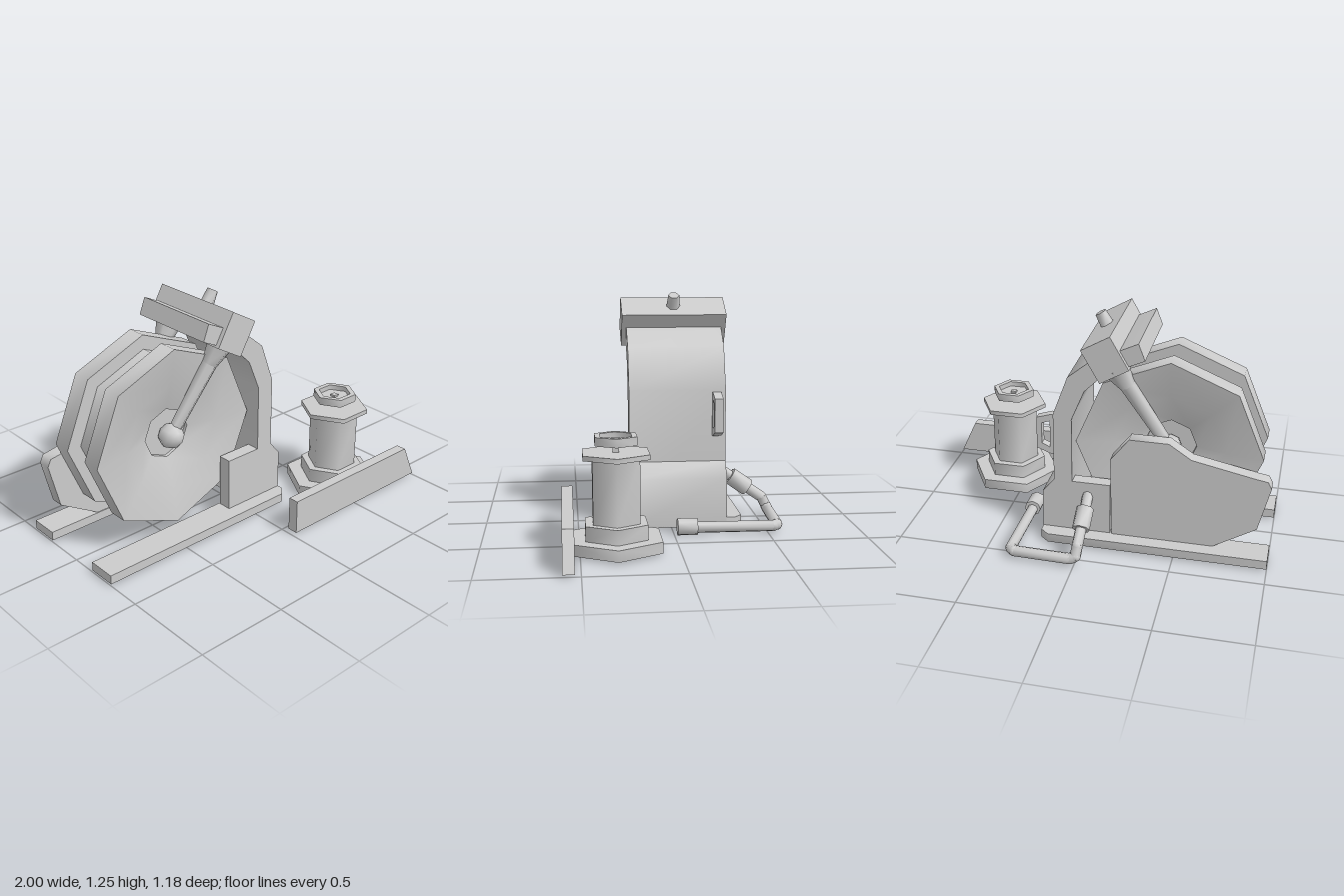
import * as THREE from 'three';
import { toCreasedNormals } from 'three/addons/utils/BufferGeometryUtils.js';

const V = (x, y, z) => new THREE.Vector3(x, y, z);

export function createModel() {
  const model = new THREE.Group();
  const material = new THREE.MeshStandardMaterial({ color: 0xcccccc });

  function add(name, geometry, parent = model, crease = 1.1) {
    const mesh = new THREE.Mesh(toCreasedNormals(geometry, crease), material);
    mesh.name = name;
    parent.add(mesh);
    return mesh;
  }

  const points = pts => pts.map(p => new THREE.Vector2(...p));

  // Side profile (x, y) extruded from z0 to z1
  function slab(name, pts, z0, z1, hole) {
    const shape = new THREE.Shape(points(pts));
    if (hole) shape.holes.push(new THREE.Path(points(hole)));
    const g = new THREE.ExtrudeGeometry(shape, { depth: z1 - z0, bevelEnabled: false });
    return add(name, g.translate(0, 0, z0));
  }

  // Tapered prism between two points
  function rod(name, a, b, ra, rb = ra, sides = 6) {
    const dir = b.clone().sub(a);
    const mesh = add(name, new THREE.CylinderGeometry(rb, ra, dir.length(), sides));
    mesh.position.copy(a).lerp(b, 0.5);
    mesh.quaternion.setFromUnitVectors(V(0, 1, 0), dir.normalize());
    return mesh;
  }

  // U-shaped ground frame, drawn in plan as (x, -z)
  const plan = [[-1, -0.305], [0.19, -0.305], [0.235, -0.26], [0.235, 0.34], [0.19, 0.38], [-1, 0.38],
    [-1, 0.22], [-0.06, 0.22], [0.03, 0.15], [0.03, -0.07], [-0.06, -0.145], [-1, -0.145]];
  const frame = new THREE.ExtrudeGeometry(new THREE.Shape(points(plan)), { depth: 0.05, bevelEnabled: false });
  add('groundFrame', frame.rotateX(-Math.PI / 2).translate(0, 0.012, 0));

  // Back column curling over the reel
  slab('column', [[0.07, 0.05], [0.17, 0.05], [0.17, 0.75], [0.09, 0.97], [-0.03, 1.07], [-0.28, 1.19],
    [-0.315, 1.10], [-0.1, 1.0], [0.0, 0.9], [0.07, 0.73]], -0.295, 0.225);

  // Foot of the column, with a cheek on each side of the reel
  slab('columnFoot', [[0.07, 0.012], [0.235, 0.012], [0.235, 0.28], [0.17, 0.36], [0.07, 0.36]], -0.295, 0.225);
  for (const [z0, z1] of [[0.15, 0.225], [-0.295, -0.225]])
    slab('footCheek', [[-0.14, 0.05], [0.1, 0.05], [0.1, 0.36], [-0.14, 0.36]], z0, z1);

  // Guard plate on the far side of the reel
  slab('guardPlate', [[-0.15, 0.05], [-0.7, 0.06], [-0.93, 0.2], [-0.99, 0.45], [-0.97, 0.49], [-0.91, 0.5],
    [-0.57, 0.57], [-0.45, 0.65], [-0.24, 0.65], [-0.14, 0.52]].reverse(), -0.3, -0.225);

  // Reel: two dished flanges and a drum, turned about z
  const side = [[0, 0.085], [0.138, 0.085], [0.14, 0.1], [0.3, 0.15], [0.5, 0.182], [0.5, 0.075], [0.42, 0.075]];
  const profile = [...side.map(([r, z]) => [r, -z]), ...side.slice().reverse()];
  const reel = new THREE.LatheGeometry(points(profile), 8);
  add('reel', reel.rotateX(Math.PI / 2), model, 0.95).position.set(-0.435, 0.57, -0.04);

  // Axle ends, arms and shoulders on both sides of the reel
  for (const s of [1, -1]) {
    const hub = V(-0.435, 0.57, -0.04 + s * 0.14);
    const top = V(-0.15, 1.04, -0.04 + s * 0.21);
    rod('reelArm', hub, top, 0.033, 0.045);
    rod('armShoulder', hub.clone().lerp(top, 0.77), top, 0.043, 0.075);
    const cap = add('hubCap', new THREE.SphereGeometry(0.07, 8, 6).rotateX(Math.PI / 2));
    cap.position.copy(hub);
  }

  // Tilted head block and its knob
  const head = new THREE.Group();
  head.name = 'head';
  head.position.set(-0.112, 1.094, -0.035);
  head.rotation.z = -Math.PI / 6;
  model.add(head);
  add('headBlock', new THREE.BoxGeometry(0.175, 0.2, 0.57), head);
  add('headKnob', new THREE.CylinderGeometry(0.03, 0.038, 0.08, 6), head).position.set(0, 0.13, 0);

  // Grab handle on the back of the column
  slab('grabHandle', [[0.16, 0.5], [0.19, 0.5], [0.268, 0.53], [0.268, 0.71], [0.19, 0.735], [0.16, 0.735]],
    -0.268, -0.222, [[0.195, 0.54], [0.195, 0.695], [0.24, 0.68], [0.24, 0.56]]);

  // Inlet pipe with couplings
  const path = [V(-0.015, 0.29, -0.27), V(-0.015, 0.11, -0.53), V(-0.01, 0.06, -0.555), V(0.02, 0.045, -0.56),
    V(0.33, 0.042, -0.55), V(0.355, 0.042, -0.525), V(0.35, 0.042, -0.08)];
  for (let i = 1; i < path.length; i++) {
    rod('pipe', path[i - 1], path[i], 0.03, 0.03, 8);
    if (i < path.length - 1) add('pipeJoint', new THREE.SphereGeometry(0.03, 8, 6)).position.copy(path[i]);
  }
  rod('pipeCoupling', V(-0.015, 0.235, -0.35), V(-0.015, 0.165, -0.45), 0.048, 0.048, 8);
  rod('pipeNozzle', V(0.35, 0.047, -0.12), V(0.35, 0.047, -0.015), 0.046, 0.046, 8);

  // Hexagonal standpipe, corners pointing along x
  const standpipe = new THREE.Group();
  standpipe.name = 'standpipe';
  standpipe.position.set(0.576, 0, 0.318);
  standpipe.rotation.y = Math.PI / 2;
  model.add(standpipe);
  const tiers = [['standStep', 0.178, 0.065, 0.147], ['standPost', 0.135, 0.147, 0.48],
    ['standFlange', 0.19, 0.475, 0.5], ['wheelPlate', 0.1, 0.543, 0.556]];
  for (const [name, r, y0, y1] of tiers)
    add(name, new THREE.CylinderGeometry(r, r, y1 - y0, 6), standpipe).position.y = (y0 + y1) / 2;
  add('wheelStem', new THREE.BoxGeometry(0.03, 0.07, 0.03), standpipe).position.y = 0.533;

  // Base hollow underneath, and ring-shaped hand wheel
  const base = [[0, 0.055], [0.2, 0.055], [0.235, 0.012], [0.26, 0.012], [0.26, 0.07], [0, 0.07]];
  add('standBase', new THREE.LatheGeometry(points(base), 6), standpipe);
  const rim = [[0.09, 0.54], [0.12, 0.54], [0.12, 0.584], [0.09, 0.584], [0.09, 0.54]];
  add('handWheel', new THREE.LatheGeometry(points(rim), 6), standpipe);

  // Upright skid plate beside the standpipe
  slab('skidPlate', [[0.02, 0.012], [1, 0.012], [0.91, 0.205], [0.02, 0.205]], 0.53, 0.588);

  return model;
}
